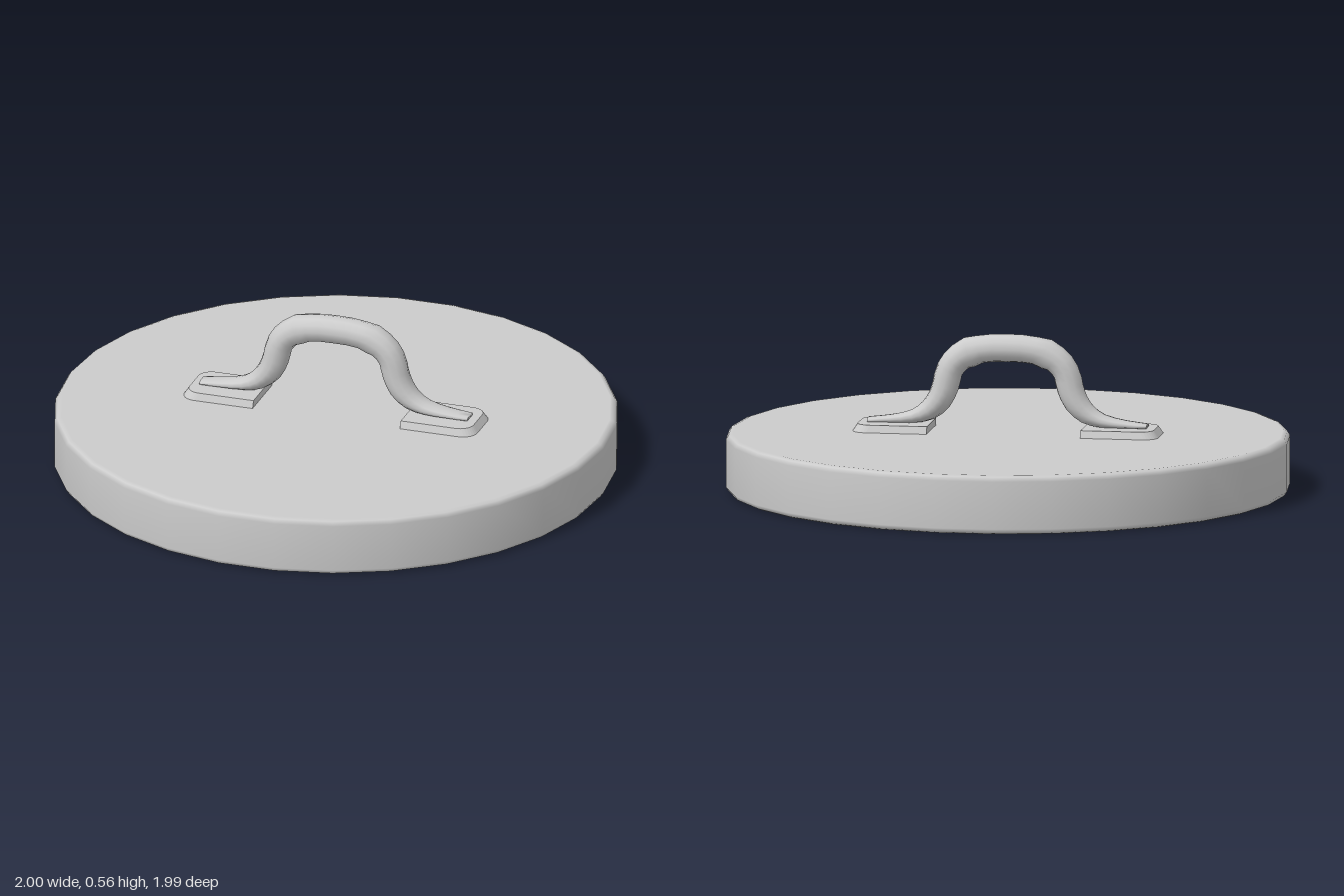
import * as THREE from 'three';

const grey = () => new THREE.MeshStandardMaterial({ color: 0xcccccc });

function part(name, geometry) {
  const mesh = new THREE.Mesh(geometry, grey());
  mesh.name = name;
  return mesh;
}

// Thirty-sided disc with small bevels and smooth normals
function lidDisc() {
  const profile = [[0, 0], [0.978, 0], [0.99, 0.005], [1, 0.02], [1, 0.19], [0.99, 0.205], [0.975, 0.21], [0, 0.21]]
    .map(([r, y]) => new THREE.Vector2(r, y));
  const geometry = new THREE.LatheGeometry(profile, 30);
  geometry.rotateY(Math.PI / 2);
  return part('lidDisc', geometry);
}

// Mounting plate: flat inner end, rounded outer corners, sloping sides
function mountingPlate(side) {
  const inner = 0.275, outer = 0.55, half = 0.11, r = 0.055;
  const shape = new THREE.Shape();
  shape.moveTo(inner, -half);
  shape.lineTo(outer - r, -half);
  shape.absarc(outer - r, -half + r, r, -Math.PI / 2, 0);
  shape.absarc(outer - r, half - r, r, 0, Math.PI / 2);
  shape.lineTo(inner, half);
  const geometry = new THREE.ExtrudeGeometry(shape, { depth: 0.03, bevelEnabled: false, curveSegments: 4 });
  const p = geometry.attributes.position;
  for (let i = 0; i < p.count; i++) {
    if (p.getZ(i) > 0.01) p.setXY(i, inner + (p.getX(i) - inner) * 0.93, p.getY(i) * 0.89);
  }
  geometry.computeVertexNormals();
  geometry.rotateX(-Math.PI / 2);
  geometry.rotateY(side > 0 ? 0 : Math.PI);
  geometry.translate(0, 0.206, 0);
  return part(side > 0 ? 'leftMountingPlate' : 'rightMountingPlate', geometry);
}

// Arched handle: elliptical sections that flatten towards both feet
function handle() {
  // x, y, half thickness, half width
  const right = [
    [0, 0.51, 0.05, 0.05], [0.1, 0.503, 0.05, 0.05], [0.17, 0.475, 0.05, 0.05],
    [0.208, 0.43, 0.048, 0.05], [0.224, 0.37, 0.048, 0.05], [0.246, 0.32, 0.045, 0.05],
    [0.285, 0.28, 0.037, 0.046], [0.34, 0.257, 0.024, 0.043], [0.42, 0.247, 0.014, 0.038],
    [0.5, 0.242, 0.009, 0.033],
  ];
  const keys = [...right.slice(1).reverse().map(([x, ...rest]) => [-x, ...rest]), ...right];
  const path = new THREE.CatmullRomCurve3(keys.map(([x, y]) => new THREE.Vector3(x, y, 0)));
  const sizes = new THREE.CatmullRomCurve3(keys.map(([, , a, b]) => new THREE.Vector3(a, b, 0)));
  const rings = (keys.length - 1) * 2, sides = 12;
  const positions = [], index = [];
  for (let i = 0; i <= rings; i++) {
    const t = i / rings;
    const c = path.getPoint(t), d = path.getTangent(t), s = sizes.getPoint(t);
    for (let j = 0; j < sides; j++) {
      const angle = (j / sides) * Math.PI * 2;
      const n = Math.cos(angle) * s.x;
      positions.push(c.x - d.y * n, c.y + d.x * n, Math.sin(angle) * s.y);
      if (i < rings) {
        const a = i * sides + j, b = i * sides + (j + 1) % sides;
        index.push(a, b, a + sides, b, b + sides, a + sides);
      }
    }
  }
  // End caps
  const last = rings * sides;
  for (let j = 1; j < sides - 1; j++) {
    index.push(0, j + 1, j, last, last + j, last + j + 1);
  }
  const geometry = new THREE.BufferGeometry();
  geometry.setAttribute('position', new THREE.Float32BufferAttribute(positions, 3));
  geometry.setIndex(index);
  geometry.computeVertexNormals();
  return part('handle', geometry);
}

export function createModel() {
  const model = new THREE.Group();
  model.name = 'lid';
  model.add(lidDisc(), mountingPlate(1), mountingPlate(-1), handle());
  return model;
}
